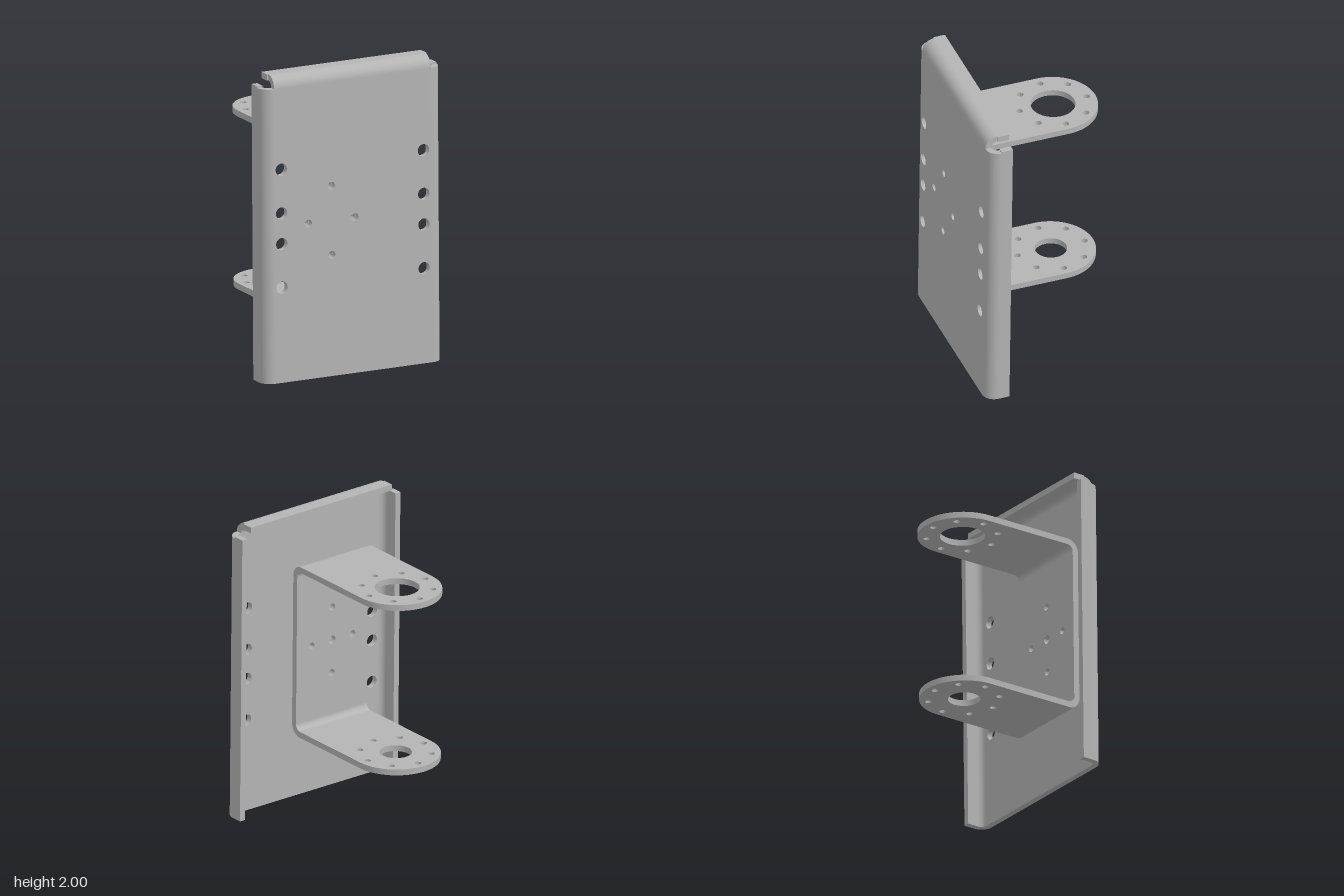
import * as THREE from 'three';
import { toCreasedNormals } from 'three/addons/utils/BufferGeometryUtils.js';

const T = 0.04;          // sheet thickness
const RO = 0.08;         // outer bend radius
const RI = RO - T;       // inner bend radius
const HALF_W = 0.637;    // half width of the panel
const FLAT = HALF_W - RO;
const DEPTH = 0.156;     // how far the panel flanges reach back
const CX = -0.155, CY = 1.015; // bracket centre

const steel = new THREE.MeshStandardMaterial({ color: 0xb4b4b4 });
steel.name = 'greySteel';

function addMesh(parent, name, geometry) {
  const mesh = new THREE.Mesh(geometry, steel);
  mesh.name = name;
  parent.add(mesh);
  return mesh;
}

function addHole(shape, x, y, r) {
  const hole = new THREE.Path();
  hole.absarc(x, y, r, 0, Math.PI * 2, true);
  shape.holes.push(hole);
}

function extrude(shape, depth) {
  const g = new THREE.ExtrudeGeometry(shape, { depth, bevelEnabled: false, curveSegments: 16 });
  return toCreasedNormals(g, 0.6);
}

function rectangle(x0, y0, x1, y1) {
  return new THREE.Shape([
    new THREE.Vector2(x0, y0), new THREE.Vector2(x1, y0),
    new THREE.Vector2(x1, y1), new THREE.Vector2(x0, y1),
  ]);
}

function box(x0, x1, y0, y1, z0, z1) {
  return new THREE.BoxGeometry(x1 - x0, y1 - y0, z1 - z0)
    .translate((x0 + x1) / 2, (y0 + y1) / 2, (z0 + z1) / 2);
}

// Quarter-round sheet bend along z, turned by quarter turns
function bend(length, turns) {
  const s = new THREE.Shape();
  s.absarc(0, 0, RO, 0, Math.PI / 2, false);
  s.absarc(0, 0, RI, Math.PI / 2, 0, true);
  s.closePath();
  return extrude(s, length).rotateZ(turns * Math.PI / 2);
}

// Bend along x, centred on x
function bendAlongX(length, turns, x, y, z) {
  return bend(length, turns).rotateY(-Math.PI / 2).translate(x + length / 2, y, z);
}

function makePanel() {
  const panel = new THREE.Group();
  panel.name = 'backPanel';
  const top = 2 - RO;

  // Flat face with its mounting holes
  const face = rectangle(-FLAT, 0, FLAT, top);
  for (const x of [-0.51, 0.5]) {
    for (const y of [0.62, 0.905, 1.105, 1.39]) addHole(face, x, y, 0.04);
  }
  for (const [dx, dy] of [[0, 0.225], [0, -0.225], [0.165, 0], [-0.165, 0]]) {
    addHole(face, CX + dx, CY + dy, 0.025);
  }
  addMesh(panel, 'panelFace', extrude(face, T).translate(0, 0, -T));

  // Folded sides
  for (const side of [1, -1]) {
    const label = side > 0 ? 'left' : 'right';
    const g = bend(top, side > 0 ? 0 : 1).rotateX(Math.PI / 2).translate(side * FLAT, top, -RO);
    addMesh(panel, label + 'SideBend', g);
    const xs = side > 0 ? [HALF_W - T, HALF_W] : [-HALF_W, T - HALF_W];
    addMesh(panel, label + 'SideFlange', box(xs[0], xs[1], 0, 1.93, -DEPTH, -RO));
  }

  // Folded top
  addMesh(panel, 'topBend', bendAlongX(FLAT * 2, 0, 0, top, -RO));
  addMesh(panel, 'topFlange', box(-0.567, 0.567, 2 - T, 2, -DEPTH, -RO));
  return panel;
}

// Round-ended arm with a bore and a ring of bolt holes
function armGeometry(boreRadius, halfWidth) {
  const start = T + RO, centre = 0.733;
  const s = new THREE.Shape();
  s.moveTo(-halfWidth, start);
  s.lineTo(halfWidth, start);
  s.absarc(0, centre, halfWidth, 0, Math.PI, false);
  s.closePath();
  addHole(s, 0, centre, boreRadius);
  for (let i = 0; i < 8; i++) {
    const a = i * Math.PI / 4;
    addHole(s, 0.227 * Math.cos(a), centre + 0.227 * Math.sin(a), 0.021);
  }
  return extrude(s, T).rotateX(-Math.PI / 2);
}

function makeBracket() {
  const bracket = new THREE.Group();
  bracket.name = 'uBracket';
  const halfW = 0.285, halfH = 0.585;

  // Base against the panel
  const base = rectangle(CX - halfW, CY - halfH + RO, CX + halfW, CY + halfH - RO);
  addHole(base, CX, CY, 0.028);
  for (const [dx, dy] of [[0, 0.225], [0, -0.225], [0.165, 0], [-0.165, 0]]) {
    addHole(base, CX + dx, CY + dy, 0.023);
  }
  addMesh(bracket, 'bracketBase', extrude(base, T).translate(0, 0, -2 * T));

  // Bends and arms
  addMesh(bracket, 'upperBend', bendAlongX(halfW * 2, 0, CX, CY + halfH - RO, -T - RO));
  addMesh(bracket, 'lowerBend', bendAlongX(halfW * 2, -1, CX, CY - halfH + RO, -T - RO));
  addMesh(bracket, 'upperArm', armGeometry(0.143, halfW).translate(CX, CY + halfH - T, 0));
  addMesh(bracket, 'lowerArm', armGeometry(0.103, halfW).translate(CX, CY - halfH, 0));
  return bracket;
}

export function createModel() {
  const model = new THREE.Group();
  model.name = 'mountingBracket';
  const assembly = new THREE.Group();
  assembly.name = 'assembly';
  assembly.add(makePanel(), makeBracket());
  // The whole assembly leans back and turns very slightly
  assembly.rotation.set(-0.0125, -0.0265, 0);
  assembly.position.set(0, 0.001, 0.512);
  model.add(assembly);
  return model;
}
